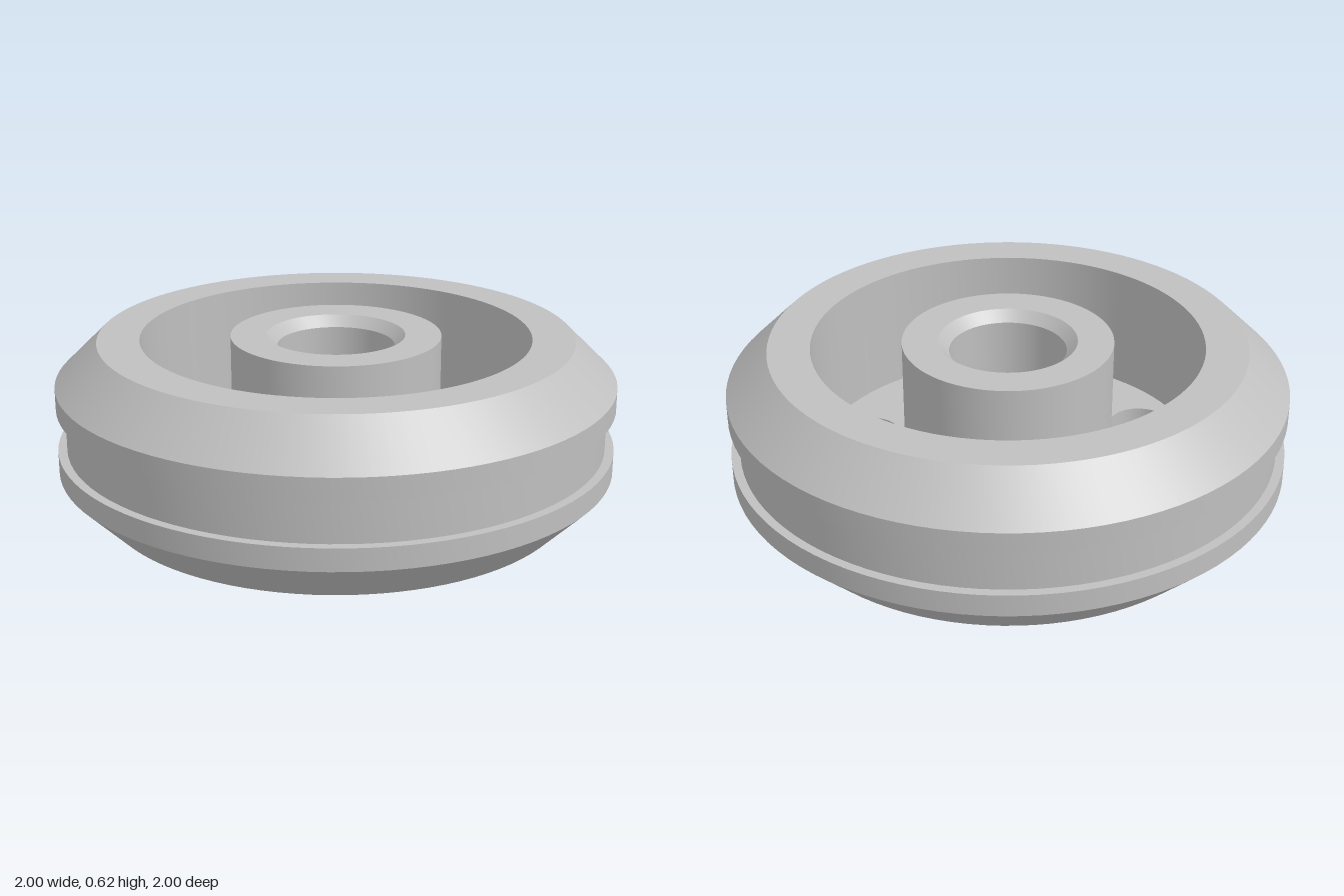
import * as THREE from 'three';
import { toCreasedNormals } from 'three/addons/utils/BufferGeometryUtils.js';

const SEGMENTS = 96;
const HEIGHT = 0.616;
const WEB = 0.155;     // thickness of the drilled disc
const RIM_IN = 0.697;  // inner radius of the rim
const HUB_OUT = 0.376; // outer radius of the hub

// Turned part with sharp profile corners; points run bottom, outside, top, inside
function turned(name, profile, material) {
  const points = profile.map(([r, y]) => new THREE.Vector2(r, y));
  const geometry = toCreasedNormals(new THREE.LatheGeometry(points, SEGMENTS), 0.5);
  const mesh = new THREE.Mesh(geometry, material);
  mesh.name = name;
  return mesh;
}

function circle(PathType, x, y, r) {
  return new PathType().absarc(x, y, r, 0, Math.PI * 2, false);
}

export function createModel() {
  const wheel = new THREE.Group();
  wheel.name = 'wheel';
  const metal = new THREE.MeshStandardMaterial({ color: 0xbfbfbf });
  metal.name = 'grey metal';

  // Bevelled rim with a shallow groove round the middle
  wheel.add(turned('rim', [
    [RIM_IN, 0], [0.848, 0], [1, 0.153], [1, 0.233], [0.968, 0.233],
    [0.968, 0.39], [1, 0.39], [1, 0.467], [0.848, HEIGHT],
    [RIM_IN, HEIGHT], [RIM_IN, WEB],
  ], metal));

  // Hub with a bore chamfered at both ends
  wheel.add(turned('hub', [
    [HUB_OUT, WEB], [HUB_OUT, HEIGHT], [0.247, HEIGHT], [0.209, HEIGHT - 0.038],
    [0.209, 0.038], [0.247, 0], [HUB_OUT, 0],
  ], metal));

  // Disc between hub and rim with five round holes
  const disc = circle(THREE.Shape, 0, 0, RIM_IN);
  disc.holes.push(circle(THREE.Path, 0, 0, HUB_OUT));
  for (let i = 0; i < 5; i++) {
    const a = Math.PI / 2 + (i * Math.PI * 2) / 5;
    disc.holes.push(circle(THREE.Path, 0.539 * Math.cos(a), 0.539 * Math.sin(a), 0.115));
  }
  const discGeometry = new THREE.ExtrudeGeometry(disc, {
    depth: WEB, bevelEnabled: false, curveSegments: SEGMENTS / 2,
  });
  discGeometry.rotateX(-Math.PI / 2);
  const web = new THREE.Mesh(toCreasedNormals(discGeometry, 0.5), metal);
  web.name = 'drilledDisc';
  wheel.add(web);

  return wheel;
}
